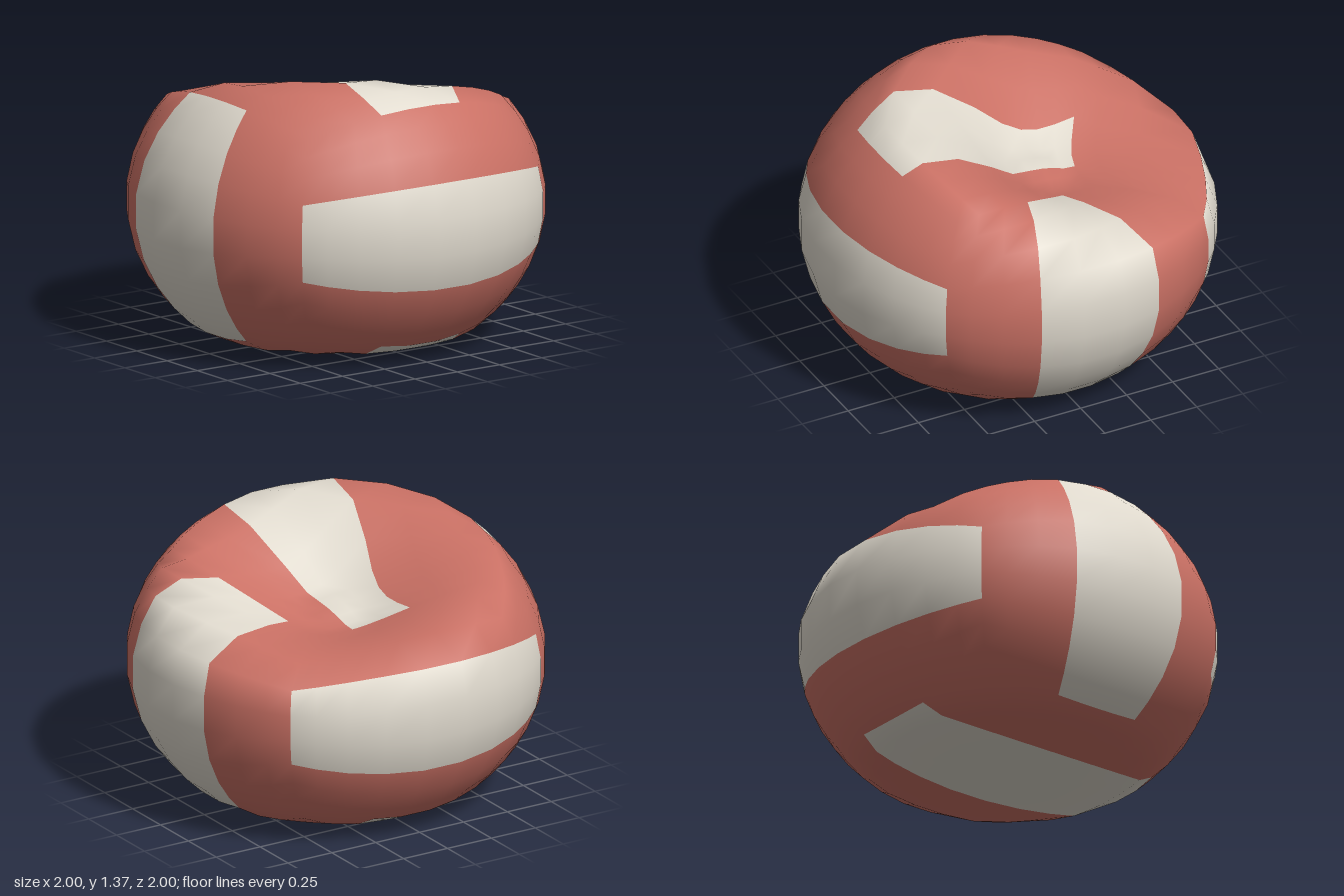
import * as THREE from 'three';
import { mergeVertices } from 'three/addons/utils/BufferGeometryUtils.js';

const SEG = 9;
const dentDir = new THREE.Vector3(-0.3, 0.93, -0.22).normalize();

// cube point -> sagging ball with a punched-in top
function deform(v) {
  v.normalize();
  const dent = THREE.MathUtils.smoothstep(v.dot(dentDir), 0.57, 0.95);
  v.multiplyScalar(1.012 * (1 - 0.59 * dent));
  v.y = 0.67 + 0.82 * v.y;
  // underside flattened by resting on the ground
  if (v.y < 0.05) v.y = 0.05 + (v.y - 0.05) * 0.25;
}

// each cube face has one middle stripe, running in a different direction per axis
function isStripe(c) {
  const ax = Math.abs(c.x), ay = Math.abs(c.y), az = Math.abs(c.z);
  const across = az > 0.999 ? ax : ax > 0.999 ? ay : az;
  return across < 1 / 3;
}

export function createModel() {
  const red = new THREE.MeshStandardMaterial({ color: 0xc97064 });
  red.name = 'red rubber';
  const cream = new THREE.MeshStandardMaterial({ color: 0xdfd9cd });
  cream.name = 'cream rubber';

  let geo = new THREE.BoxGeometry(2, 2, 2, SEG, SEG, SEG);
  geo.deleteAttribute('normal');
  geo.deleteAttribute('uv');
  geo = mergeVertices(geo, 1e-4);

  // sort triangles into panels and stripes while still a cube
  const pos = geo.attributes.position;
  const idx = geo.index;
  const panels = [], stripes = [];
  const p = new THREE.Vector3(), c = new THREE.Vector3();
  for (let i = 0; i < idx.count; i += 3) {
    const tri = [idx.getX(i), idx.getX(i + 1), idx.getX(i + 2)];
    c.set(0, 0, 0);
    for (const k of tri) c.add(p.fromBufferAttribute(pos, k));
    c.divideScalar(3);
    (isStripe(c) ? stripes : panels).push(...tri);
  }

  // shape the ball, then share its smooth normals between both parts
  for (let i = 0; i < pos.count; i++) {
    p.fromBufferAttribute(pos, i);
    deform(p);
    pos.setXYZ(i, p.x, p.y, p.z);
  }
  geo.computeBoundingBox();
  geo.translate(0, -geo.boundingBox.min.y, 0);
  geo.computeVertexNormals();

  const group = new THREE.Group();
  group.name = 'deflatedBall';
  const addPart = (name, index, material) => {
    const g = new THREE.BufferGeometry();
    g.setAttribute('position', geo.attributes.position);
    g.setAttribute('normal', geo.attributes.normal);
    g.setIndex(index);
    const mesh = new THREE.Mesh(g, material);
    mesh.name = name;
    group.add(mesh);
  };
  addPart('ballPanels', panels, red);
  addPart('ballStripes', stripes, cream);
  return group;
}
